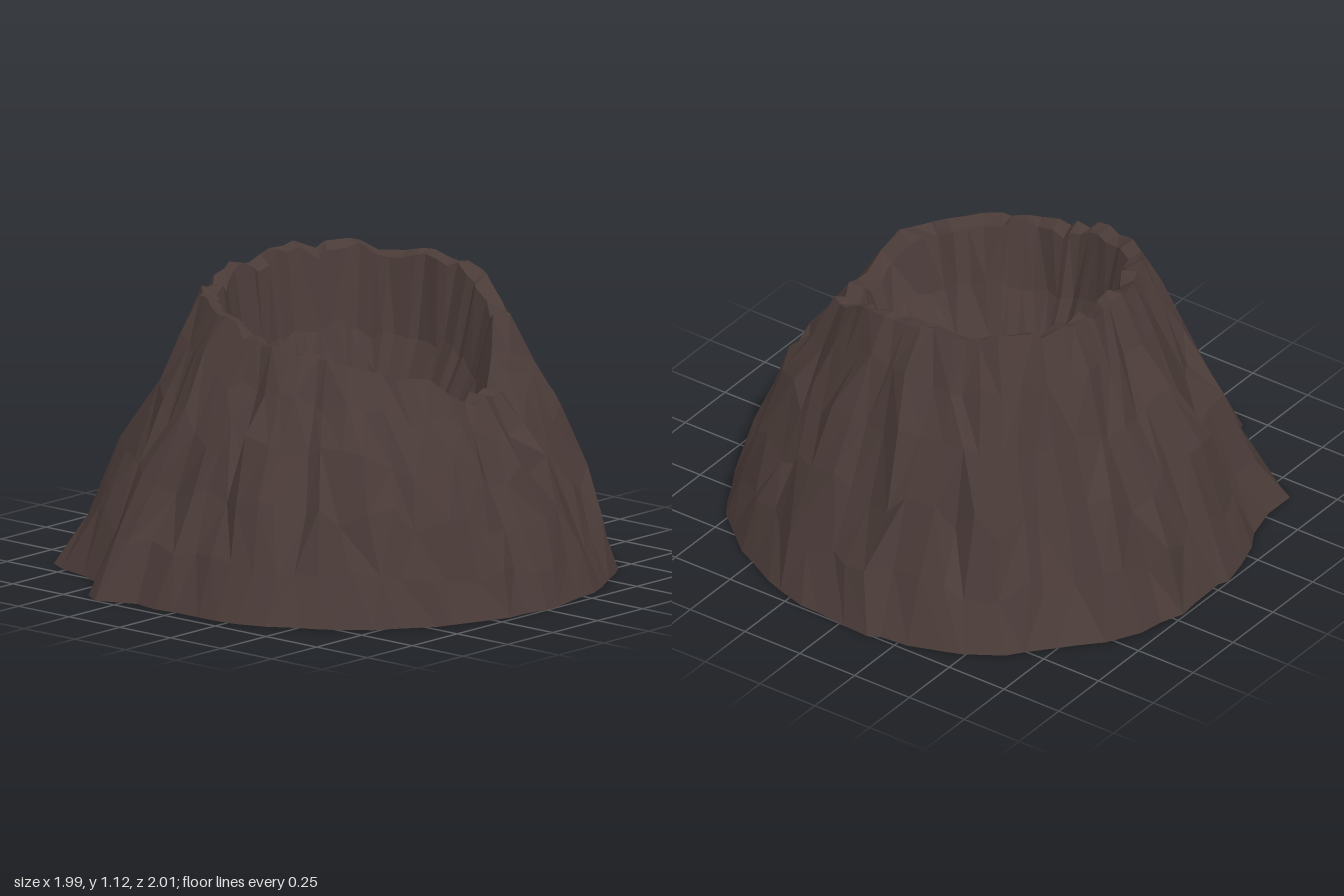
import * as THREE from 'three';

const N = 60; // facets around
const TAU = Math.PI * 2;
// values every 22.5 degrees, starting at +x and turning towards +z
const BASE = [0.99, 0.99, 0.98, 0.96, 0.95, 0.94, 0.95, 0.97, 0.99, 1.01, 1.01, 1.03, 1.0, 1.0, 1.0, 1.0];
const RIM_R = [0.65, 0.66, 0.57, 0.52, 0.51, 0.51, 0.53, 0.51, 0.51, 0.55, 0.58, 0.57, 0.56, 0.58, 0.6, 0.62];
const RIM_Y = [0.74, 0.85, 0.91, 0.93, 0.96, 1.03, 1.05, 1.06, 1.08, 1.1, 1.1, 1.08, 1.09, 1.06, 0.96, 0.71];

// repeatable noise in -1..1
function noise(i, j, k = 0) {
  const v = Math.sin(i * 127.1 + j * 311.7 + k * 74.7) * 43758.5453;
  return (v - Math.floor(v)) * 2 - 1;
}

// smooth lookup around the circle
function around(table, a) {
  const u = (((a / TAU) % 1) + 1) % 1 * table.length;
  const i = Math.floor(u), f = u - i, s = f * f * (3 - 2 * f);
  return table[i] * (1 - s) + table[(i + 1) % table.length] * s;
}

// bump of given width (degrees) around one direction
function bump(a, deg, width) {
  let d = ((a * 360 / TAU - deg) % 360 + 540) % 360 - 180;
  return Math.exp(-((d / width) ** 2));
}

// flat-shaded surface through a list of rings
function loft(rings, material, name) {
  const pos = [];
  const tri = (a, b, c) => pos.push(...a, ...b, ...c);
  for (let r = 0; r + 1 < rings.length; r++) {
    const lo = rings[r], hi = rings[r + 1];
    for (let i = 0; i < N; i++) {
      const n = (i + 1) % N;
      if (noise(i, r, 9) > 0) {
        tri(lo[i], hi[i], hi[n]);
        tri(lo[i], hi[n], lo[n]);
      } else {
        tri(lo[i], hi[i], lo[n]);
        tri(hi[i], hi[n], lo[n]);
      }
    }
  }
  const g = new THREE.BufferGeometry();
  g.setAttribute('position', new THREE.Float32BufferAttribute(pos, 3));
  g.computeVertexNormals();
  const mesh = new THREE.Mesh(g, material);
  mesh.name = name;
  return mesh;
}

function ring(fn) {
  return Array.from({ length: N }, (_, i) => fn(i, (i / N) * TAU));
}

// outer slope: t = 0 at the ground, 1 at the rim
function slopeRing(t, j) {
  return ring((i, a0) => {
    const a = a0 + noise(i, j, 1) * 0.035;
    const rough = Math.sin(t * Math.PI);
    const h = around(RIM_Y, a) + noise(i, 3, 5) * 0.018;
    const bulge = 0.02 + 0.11 * bump(a, 0, 50);
    const f = t - bulge * rough;
    const spurs = (0.12 * bump(a, 111, 6) + 0.12 * bump(a, 141, 7)) * (1 - t) ** 2;
    const r = THREE.MathUtils.lerp(around(BASE, a), around(RIM_R, a), f) + spurs
      + noise(i, 0, 2) * (0.012 + 0.015 * rough) + noise(i, j, 3) * 0.02 * rough;
    const y = h * (t + noise(i, j, 4) * 0.07 * rough);
    return [Math.cos(a) * r, y, Math.sin(a) * r];
  });
}

// crater: s = share of the rim radius, w = share of the drop to the floor
const FLOOR = 0.36, CX = -0.03, CZ = -0.04;
function craterRing(rim, s, w, ridge, j) {
  return ring((i, a) => {
    const [x, y, z] = rim[i];
    const k = s * (1 + noise(i, j, 6) * 0.02);
    const lift = ridge * bump(a, 220, 34);
    const drop = y + (FLOOR - y) * w;
    return [CX + (x - CX) * k, drop + lift + noise(i, j, 7) * 0.02 * Math.min(1, s * 2), CZ + (z - CZ) * k];
  });
}

export function createModel() {
  const group = new THREE.Group();
  group.name = 'craterRock';
  const rock = new THREE.MeshStandardMaterial({ color: 0x4a3b38, flatShading: true });

  // craggy outer wall
  const slopes = [0, 0.2, 0.42, 0.64, 0.84, 1].map(slopeRing);
  const base = slopes[0], rim = slopes[slopes.length - 1];
  group.add(loft(slopes, rock, 'outerSlopes'));

  // narrow lip around the opening
  const lip = craterRing(rim, 0.9, 0.02, 0, 20);
  group.add(loft([rim, lip], rock, 'rim'));

  // inner wall, with a raised ledge at the back
  const inner = [
    [0.8, 0.42, 0],
    [0.64, 0.72, 0.08],
    [0.47, 0.8, 0.36],
    [0.38, 0.85, 0.26],
    [0.2, 0.95, 0.02],
  ].map(([s, w, ridge], j) => craterRing(rim, s, w, ridge, 21 + j));
  const floorPoint = ring(() => [CX, FLOOR, CZ]);
  group.add(loft([lip, ...inner, floorPoint], rock, 'crater'));

  // flat underside
  const underPoint = ring(() => [0, 0, 0]);
  group.add(loft([underPoint, base], rock, 'underside'));

  return group;
}
